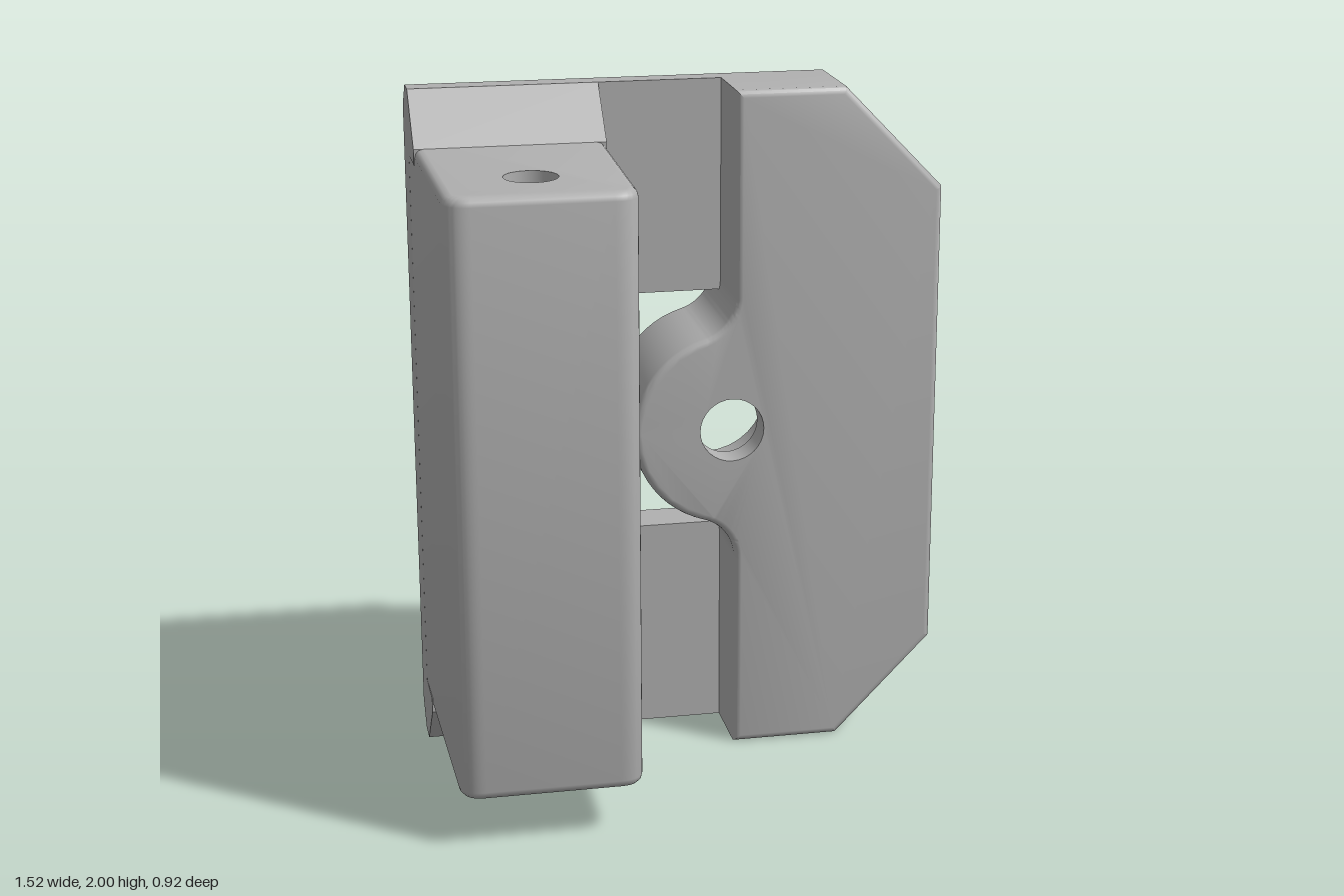
import * as THREE from 'three';
import { toCreasedNormals } from 'three/addons/utils/BufferGeometryUtils.js';

const grey = new THREE.MeshStandardMaterial({ color: 0xb0b0b0 });
grey.name = 'grey';
const V = (x, y) => new THREE.Vector2(x, y);

// Counter-clockwise outline of a shape without doubled points
function outline(shape) {
  const pts = shape.getPoints(12);
  const out = pts.filter((p, i) => p.distanceTo(pts[(i + 1) % pts.length]) > 1e-4);
  return THREE.ShapeUtils.isClockWise(out) ? out.reverse() : out;
}

// Moves every edge of an outline inwards by d
function inset(pts, d) {
  const n = pts.length;
  return pts.map((p, i) => {
    const a = p.clone().sub(pts[(i + n - 1) % n]).normalize();
    const b = pts[(i + 1) % n].clone().sub(p).normalize();
    const k = d / (1 + a.dot(b));
    return V(p.x - (a.y + b.y) * k, p.y + (a.x + b.x) * k);
  });
}

const circle = (x, y, r) => Array.from({ length: 32 }, (_, i) =>
  V(x + r * Math.cos(i * Math.PI / 16), y + r * Math.sin(i * Math.PI / 16)));

// Skins equal outlines stacked in z; the two end caps may have holes
function loft(layers, startHoles = [], endHoles = []) {
  const pos = [];
  const put = (p, z) => pos.push(p.x, p.y, z);
  for (let l = 0; l < layers.length - 1; l++) {
    const [z0, A] = layers[l], [z1, B] = layers[l + 1];
    A.forEach((p, i) => {
      const j = (i + 1) % A.length;
      put(p, z0); put(A[j], z0); put(B[j], z1);
      put(p, z0); put(B[j], z1); put(B[i], z1);
    });
  }
  const cap = ([z, pts], holes, flip) => {
    const all = [...pts, ...holes.flat()];
    for (const t of THREE.ShapeUtils.triangulateShape(pts.slice(), holes.map(h => h.slice()))) {
      const [a, b, c] = t.map(i => all[i]);
      const ccw = (b.x - a.x) * (c.y - a.y) - (b.y - a.y) * (c.x - a.x) > 0;
      for (const p of ccw !== flip ? [a, b, c] : [a, c, b]) put(p, z);
    }
  };
  cap(layers[0], startHoles, true);
  cap(layers[layers.length - 1], endHoles, false);
  const g = new THREE.BufferGeometry();
  g.setAttribute('position', new THREE.Float32BufferAttribute(pos, 3));
  return toCreasedNormals(g, 0.6);
}

// Layers of a rounded rim ending at height z; dir is +1 at the end, -1 at the start
function rim(pts, z, r, dir) {
  const layers = [0, 1, 2, 3].map(i => {
    const a = i * Math.PI / 6;
    return [z - dir * r * (1 - Math.sin(a)), inset(pts, r * (1 - Math.cos(a)))];
  });
  return dir > 0 ? layers : layers.reverse();
}

// Bevel of the back edge along top, bottom, corners and +x side
const chamfer = pts => pts.map(p => {
  const q = p.clone(), s = Math.sign(1 - p.y);
  if (p.y < 0.001 || p.y > 1.999) q.y += s * 0.07;
  if (Math.abs(p.x - 0.47) < 0.001 && Math.abs(p.y - 1) > 0.99) q.x -= 0.03;
  if (p.x > 0.759) { q.x -= 0.07; q.y += s * 0.03; }
  return q;
});

// Inward-facing wall of a round hole, profile listed from high to low
const bore = profile => toCreasedNormals(
  new THREE.LatheGeometry(profile.map(p => V(...p)), 32).toNonIndexed(), 0.6);

export function createModel() {
  const model = new THREE.Group();
  const add = (name, geometry) => {
    const m = new THREE.Mesh(geometry, grey);
    m.name = name;
    model.add(m);
    return m;
  };

  // Thin back plate with the window cut in from the block side
  const plate = new THREE.Shape();
  plate.moveTo(-0.757, 0).lineTo(0.15, 0).lineTo(0.15, 0.64).lineTo(-0.15, 0.64);
  plate.quadraticCurveTo(-0.21, 0.64, -0.21, 0.7).lineTo(-0.21, 1.31);
  plate.quadraticCurveTo(-0.21, 1.37, -0.15, 1.37).lineTo(0.15, 1.37);
  plate.lineTo(0.15, 2).lineTo(-0.757, 2).closePath();
  const p = outline(plate);
  add('backPlate', loft([[-0.46, chamfer(p)], [-0.39, p], [-0.32, p]]));

  // Thick block whose round boss blends in through two fillets
  const bx = 0.14, br = 0.29, edge = 0.15, dy = 0.4;
  const fr = ((edge - bx) ** 2 + dy * dy - br * br) / (2 * (br + edge - bx));
  const fx = edge - fr, t = Math.atan2(dy, fx - bx);
  const block = new THREE.Shape();
  block.moveTo(edge, 0).lineTo(0.47, 0).lineTo(0.76, 0.3).lineTo(0.76, 1.7);
  block.lineTo(0.47, 2).lineTo(edge, 2).lineTo(edge, 1 + dy);
  block.absarc(fx, 1 + dy, fr, 0, t - Math.PI, true);
  block.absarc(bx, 1, br, t, 2 * Math.PI - t, false);
  block.absarc(fx, 1 - dy, fr, Math.PI - t, 0, true);
  block.closePath();
  const b = outline(block);
  add('sideBlock', loft([[-0.46, chamfer(b)], [-0.39, b], ...rim(b, -0.1, 0.02, 1)],
    [circle(bx, 1, 0.18)], [circle(bx, 1, 0.095)]));
  const bolt = bore([[0.095, -0.1], [0.095, -0.19], [0.18, -0.19], [0.18, -0.46]]);
  add('counterbore', bolt.rotateX(Math.PI / 2).translate(bx, 1, 0));

  // Upright arm, slightly tapered, with rounded front corners and a vertical hole
  const arm = new THREE.Shape();
  arm.moveTo(-0.757, 0.33).lineTo(-0.745, -0.39).quadraticCurveTo(-0.744, -0.46, -0.675, -0.46);
  arm.lineTo(-0.295, -0.46).quadraticCurveTo(-0.226, -0.46, -0.225, -0.39);
  arm.lineTo(-0.21, 0.33).closePath();
  const a = outline(arm), hole = [circle(-0.485, -0.23, 0.075)];
  add('arm', loft([...rim(a, 0.15, 0.025, -1), ...rim(a, 1.855, 0.025, 1)], hole, hole)
    .rotateX(-Math.PI / 2));
  add('armHole', bore([[0.075, 1.855], [0.075, 0.15]]).translate(-0.485, 0, 0.23));

  // Sloped feet joining the arm to the plate at top and bottom
  for (const [name, f] of [['topGusset', y => y], ['bottomGusset', y => 2 - y]]) {
    const s = new THREE.Shape([[0.33, 2], [0.32, 2], [0.18, 1.855], [0.18, 1.81], [0.33, 1.81]]
      .map(([x, y]) => V(x, f(y))));
    const g = new THREE.ExtrudeGeometry(s, { depth: 0.547, bevelEnabled: false });
    add(name, g.rotateY(Math.PI / 2).translate(-0.757, 0, 0));
  }
  return model;
}
